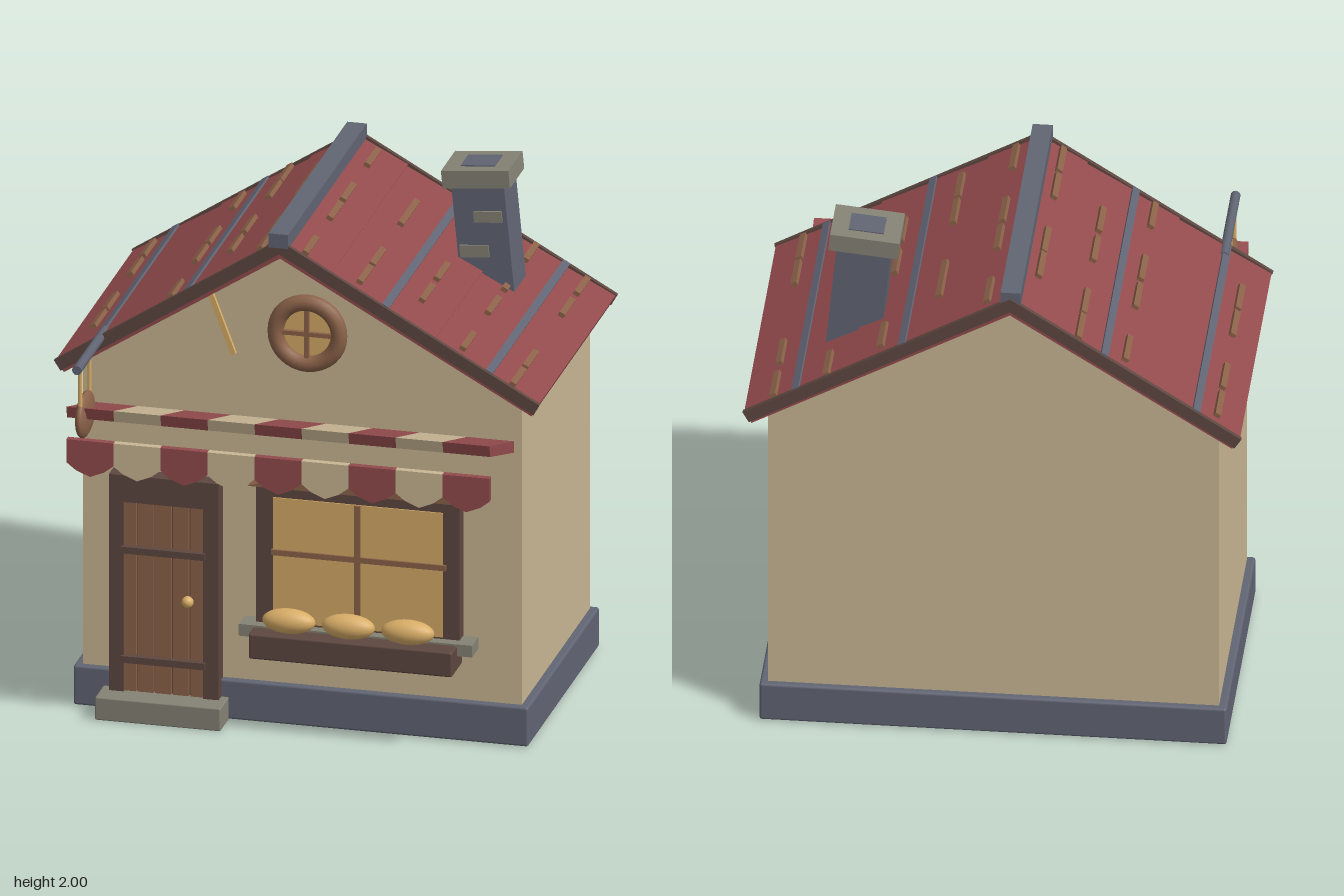
import * as THREE from 'three';
import { RoundedBoxGeometry } from 'three/addons/geometries/RoundedBoxGeometry.js';

const mat = (name, color) => {
  const m = new THREE.MeshStandardMaterial({ color });
  m.name = name;
  return m;
};

export function createModel() {
  const root = new THREE.Group();
  root.name = 'bakery';
  const cream = mat('cream', 0xc9b794), red = mat('red', 0x934b4d), dark = mat('darkWood', 0x5e4740);
  const wood = mat('wood', 0x8b6249), slate = mat('slate', 0x616573), stone = mat('stone', 0x858375);
  const gold = mat('gold', 0xd8ad67), pane = mat('pane', 0xd6ab66);

  const add = (name, geo, m, parent = root) => {
    const mesh = new THREE.Mesh(geo, m);
    mesh.name = name;
    parent.add(mesh);
    return mesh;
  };
  // box given by its limits on each axis; r rounds the edges
  const box = (name, m, x0, x1, y0, y1, z0, z1, r = 0, parent = root) => {
    const w = x1 - x0, h = y1 - y0, d = z1 - z0;
    const geo = r ? new RoundedBoxGeometry(w, h, d, 2, r) : new THREE.BoxGeometry(w, h, d);
    const mesh = add(name, geo, m, parent);
    mesh.position.set((x0 + x1) / 2, (y0 + y1) / 2, (z0 + z1) / 2);
    return mesh;
  };
  // outline in x, y extruded from z0 to z1
  const slab = (name, m, pts, z0, z1, parent = root) => {
    const shape = new THREE.Shape(pts.map(p => new THREE.Vector2(p[0], p[1])));
    const geo = new THREE.ExtrudeGeometry(shape, { depth: z1 - z0, bevelEnabled: false });
    return add(name, geo.translate(0, 0, z0), m, parent);
  };
  const blob = (name, m, x, y, z, rx, ry, rz, parent = root) => {
    const mesh = add(name, new THREE.SphereGeometry(1, 24, 16).scale(rx, ry, rz), m, parent);
    mesh.position.set(x, y, z);
    return mesh;
  };

  // walls and plinth
  slab('walls', cream, [[-0.83, 0], [0.83, 0], [0.83, 1.37], [-0.07, 1.875], [-0.83, 1.38]], -0.665, 0.335);
  box('plinth', slate, -0.86, 0.86, 0.003, 0.158, -0.69, 0.36, 0.01);

  // roof: two slopes of five stepped courses, u runs down the slope and v out of it
  const ridge = [-0.07, 1.92];
  const slopes = [
    { name: 'rightRoof', run: 0.98, drop: 0.55, tiles: [
      [0, [-0.61, -0.25, -0.06, 0.3]], [1, [-0.42, -0.34, 0.08, 0.26]], [2, [-0.61, -0.11, 0.11]],
      [3, [-0.65, -0.34, -0.1, 0.27]], [4, [-0.64, -0.42, 0.12, 0.3]]] },
    { name: 'leftRoof', run: -0.845, drop: 0.55, tiles: [
      [0, [-0.42, -0.25, 0.12, 0.3]], [1, [-0.65, -0.48, -0.12, 0.08]],
      [2, [-0.61, -0.25, -0.06, 0.3]], [4, [-0.61, -0.42, -0.06, 0.12]]] },
  ];
  for (const s of slopes) {
    const g = new THREE.Group();
    g.name = s.name;
    root.add(g);
    const len = Math.hypot(s.run, s.drop), side = Math.sign(s.run), c = len / 5;
    const dx = s.run / len, dy = -s.drop / len;
    const at = ([u, v]) => [ridge[0] + u * dx - v * dy * side, ridge[1] + u * dy + v * dx * side];
    const rect = (u0, u1, v0, v1) => [[u0, v0], [u1, v0], [u1, v1], [u0, v1]].map(at);
    const top = [];
    for (let i = 0; i < 5; i++) top.push([i * c, -0.008], [(i + 1) * c, 0]);
    slab('courses', red, [[0, -0.06], ...top, [len, -0.055]].map(at), -0.74, 0.4, g);
    for (const z of [-0.75, 0.392])
      slab('gableTrim', dark, rect(0, len + 0.004, -0.043, 0.004), z, z + 0.018, g);
    for (const k of [2, 4])
      slab('slateBand', slate, rect(k * c - 0.008, k * c + 0.022, -0.02, 0.008), -0.74, 0.4, g);
    for (const [row, zs] of s.tiles)
      for (const z of zs) {
        const u = (row + 0.46) * c;
        slab('raisedTile', wood, rect(u - 0.012, u + 0.012, -0.015, 0.012), z - 0.08, z + 0.08, g);
      }
  }
  box('ridgeCap', slate, -0.108, -0.034, 1.895, 1.95, -0.745, 0.411);

  // leaning chimney
  const chimney = new THREE.Group();
  chimney.name = 'chimney';
  chimney.position.set(0.495, 1.955, -0.39);
  chimney.rotation.z = 0.095;
  root.add(chimney);
  box('shaft', slate, -0.1, 0.1, -0.5, -0.02, -0.085, 0.085, 0, chimney);
  box('cap', stone, -0.128, 0.128, -0.034, 0.034, -0.105, 0.105, 0, chimney);
  box('flue', slate, -0.065, 0.065, 0.03, 0.038, -0.055, 0.055, 0, chimney);
  box('stonePatch', stone, -0.025, 0.082, -0.173, -0.13, 0.08, 0.092, 0, chimney);
  box('stonePatch', stone, -0.09, 0.02, -0.31, -0.262, 0.08, 0.092, 0, chimney);

  // round gable window
  const round = new THREE.Group();
  round.name = 'roundWindow';
  round.position.set(0.022, 1.545, 0.345);
  root.add(round);
  add('ring', new THREE.TorusGeometry(0.12, 0.031, 12, 32), wood, round);
  add('pane', new THREE.CircleGeometry(0.11, 32), pane, round);
  box('crossBar', wood, -0.105, 0.105, -0.008, 0.008, 0, 0.016, 0, round);
  box('crossBar', wood, -0.008, 0.008, -0.105, 0.105, 0, 0.016, 0, round);

  // slanted strip on the gable
  const strip = box('gableStrip', gold, -0.01, 0.01, -0.13, 0.13, -0.01, 0.012);
  strip.position.set(-0.303, 1.557, 0.34);
  strip.rotation.z = 0.36;

  // striped awning with hanging scallops
  const awning = new THREE.Group();
  awning.name = 'awning';
  root.add(awning);
  const sw = 1.6 / 9;
  for (let i = 0; i < 9; i++) {
    const x = -0.8 + i * sw, m = i % 2 ? cream : red;
    const stripe = slab('stripe', m, [[-0.33, 1.145], [-0.683, 1.262], [-0.695, 1.308], [-0.33, 1.19]], x, x + sw, awning);
    stripe.rotation.y = Math.PI / 2;
    stripe.geometry.rotateY(0);
    const hem = [[x, 1.18], [x, 1.09], [x + sw * 0.2, 1.062], [x + sw * 0.5, 1.04],
      [x + sw * 0.8, 1.062], [x + sw, 1.09], [x + sw, 1.18]];
    slab('scallop', m, hem, 0.668, 0.694, awning);
  }

  // hanging loaf sign
  const rod = add('signRod', new THREE.CylinderGeometry(0.018, 0.018, 0.42, 12), slate);
  rod.rotation.x = Math.PI / 2;
  rod.position.set(-0.747, 1.475, 0.537);
  for (const z of [0.56, 0.695])
    add('signCord', new THREE.CylinderGeometry(0.008, 0.008, 0.19, 8), gold).position.set(-0.747, 1.375, z);
  blob('loafSign', wood, -0.747, 1.257, 0.623, 0.027, 0.086, 0.11);

  // door
  box('doorJamb', dark, -0.715, -0.66, 0, 0.94, 0.33, 0.4);
  box('doorJamb', dark, -0.358, -0.3, 0, 0.94, 0.33, 0.4);
  box('doorHead', dark, -0.66, -0.358, 0.835, 0.94, 0.33, 0.4);
  box('doorBack', dark, -0.66, -0.358, 0.05, 0.835, 0.33, 0.375);
  const seams = [-0.664, -0.612, -0.546, -0.479, -0.413, -0.356];
  for (let i = 0; i < 5; i++)
    box('plank', wood, seams[i] + 0.003, seams[i + 1] - 0.003, 0.08, 0.835, 0.37, 0.388);
  for (const y of [0.22, 0.65]) box('strap', dark, -0.668, -0.35, y - 0.013, y + 0.013, 0.38, 0.412);
  blob('knob', gold, -0.417, 0.465, 0.4, 0.022, 0.022, 0.022);
  box('doorstep', stone, -0.747, -0.272, 0, 0.09, 0.33, 0.482, 0.006);

  // shop window
  box('windowFrame', dark, -0.16, 0.61, 0.34, 0.95, 0.33, 0.395);
  box('pane', pane, -0.095, 0.548, 0.42, 0.908, 0.394, 0.4);
  box('mullion', wood, 0.215, 0.237, 0.42, 0.908, 0.396, 0.41);
  box('transom', wood, -0.1, 0.56, 0.684, 0.705, 0.396, 0.408);
  slab('windowHood', wood, [[-0.19, 0.945], [0.65, 0.945], [0.475, 1.012], [0.225, 1.045], [0, 1.012]], 0.33, 0.402);
  box('sill', stone, -0.215, 0.668, 0.366, 0.412, 0.345, 0.435);
  box('breadTray', dark, -0.16, 0.61, 0.307, 0.405, 0.35, 0.507, 0.008);
  for (const x of [-0.02, 0.205, 0.43]) blob('bun', gold, x, 0.45, 0.455, 0.1, 0.047, 0.047);

  return root;
}
